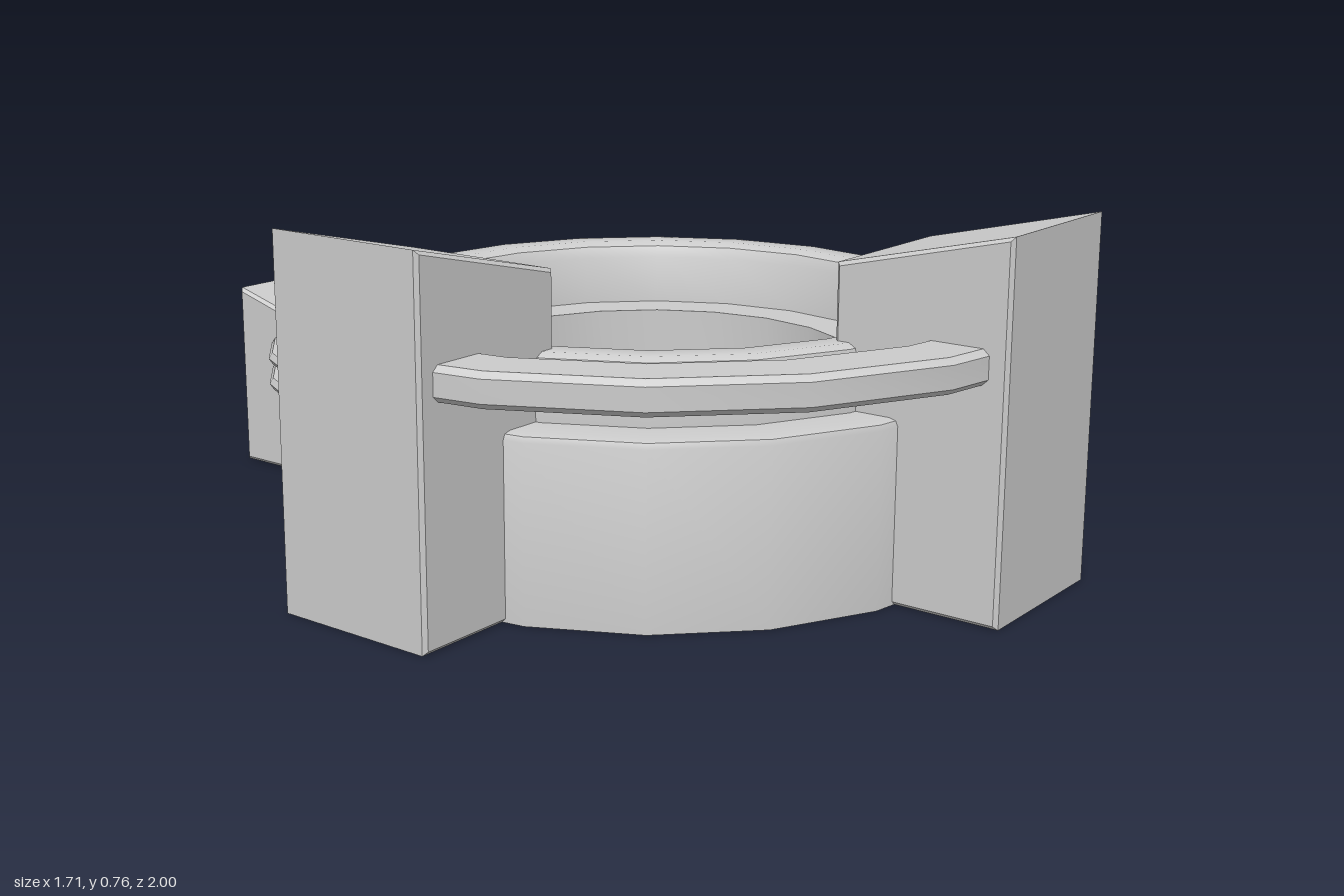
import * as THREE from 'three';
import { toCreasedNormals } from 'three/addons/utils/BufferGeometryUtils.js';

const material = new THREE.MeshStandardMaterial({ color: 0xcccccc });
const CX = 0.095, CZ = 0.04; // axis of the ring

function addMesh(parent, name, geometry, x, z, y = 0) {
  const mesh = new THREE.Mesh(geometry, material);
  mesh.name = name;
  mesh.position.set(x, y, z);
  parent.add(mesh);
  return mesh;
}

// Revolved closed profile, counter-clockwise in (radius, height)
function revolve(points, segments, start = 0, length = Math.PI * 2) {
  const profile = points.map(([r, y]) => new THREE.Vector2(r, y));
  return toCreasedNormals(new THREE.LatheGeometry(profile, segments, start, length), 0.7);
}

// Square post with a top sloping up towards its outer (+z) side
function postGeometry(size, innerHeight, outerHeight) {
  const h = size / 2, bevel = 0.008;
  const shape = new THREE.Shape([
    new THREE.Vector2(-h, 0), new THREE.Vector2(h, 0),
    new THREE.Vector2(h, outerHeight), new THREE.Vector2(-h, innerHeight),
  ]);
  const geometry = new THREE.ExtrudeGeometry(shape, {
    depth: size - 2 * bevel, bevelEnabled: true, bevelSegments: 1,
    bevelThickness: bevel, bevelSize: bevel, bevelOffset: -bevel,
  });
  geometry.translate(0, 0, bevel - h);
  geometry.rotateY(-Math.PI / 2);
  return geometry;
}

export function createModel() {
  const model = new THREE.Group();
  model.name = 'ringWithPosts';

  // Stepped ring body with an inner ledge
  addMesh(model, 'ringBody', revolve([
    [0.445, 0], [0.76, 0], [0.76, 0.365], [0.755, 0.376], [0.74, 0.38],
    [0.665, 0.38], [0.665, 0.49], [0.66, 0.506], [0.645, 0.515],
    [0.595, 0.515], [0.572, 0.505], [0.56, 0.48],
    [0.55, 0.37], [0.445, 0.37], [0.445, 0],
  ], 20), CX, CZ);

  // Two large posts, at the front and on the right side
  const large = postGeometry(0.376, 0.67, 0.76);
  addMesh(model, 'frontPost', large, 0.094, 0.81);
  addMesh(model, 'rightPost', large, -0.67, 0.046).rotation.y = -Math.PI / 2;

  // Flat curved band joining the large posts
  addMesh(model, 'band', revolve([
    [0.825, 0.475], [0.935, 0.475], [0.948, 0.487], [0.948, 0.533],
    [0.935, 0.545], [0.825, 0.545], [0.812, 0.533], [0.812, 0.487], [0.825, 0.475],
  ], 5, -Math.PI / 2, Math.PI / 2), CX, CZ);

  // Two small posts at the back
  const small = postGeometry(0.187, 0.38, 0.43);
  for (const [name, side] of [['backRightPost', -1], ['backLeftPost', 1]]) {
    addMesh(model, name, small, 0.094 + side * 0.189, -0.906).rotation.y = Math.PI;
  }

  // Pair of thin curved rods passing through the small posts
  const section = [];
  for (let i = 0; i <= 8; i++) {
    const a = (i / 8) * Math.PI * 2;
    section.push([0.468 + 0.029 * Math.cos(a), 0.019 * Math.sin(a)]);
  }
  const rod = revolve(section, 10, Math.PI / 2, Math.PI);
  addMesh(model, 'lowerRod', rod, CX, -0.482, 0.25);
  addMesh(model, 'upperRod', rod, CX, -0.482, 0.31);

  return model;
}
